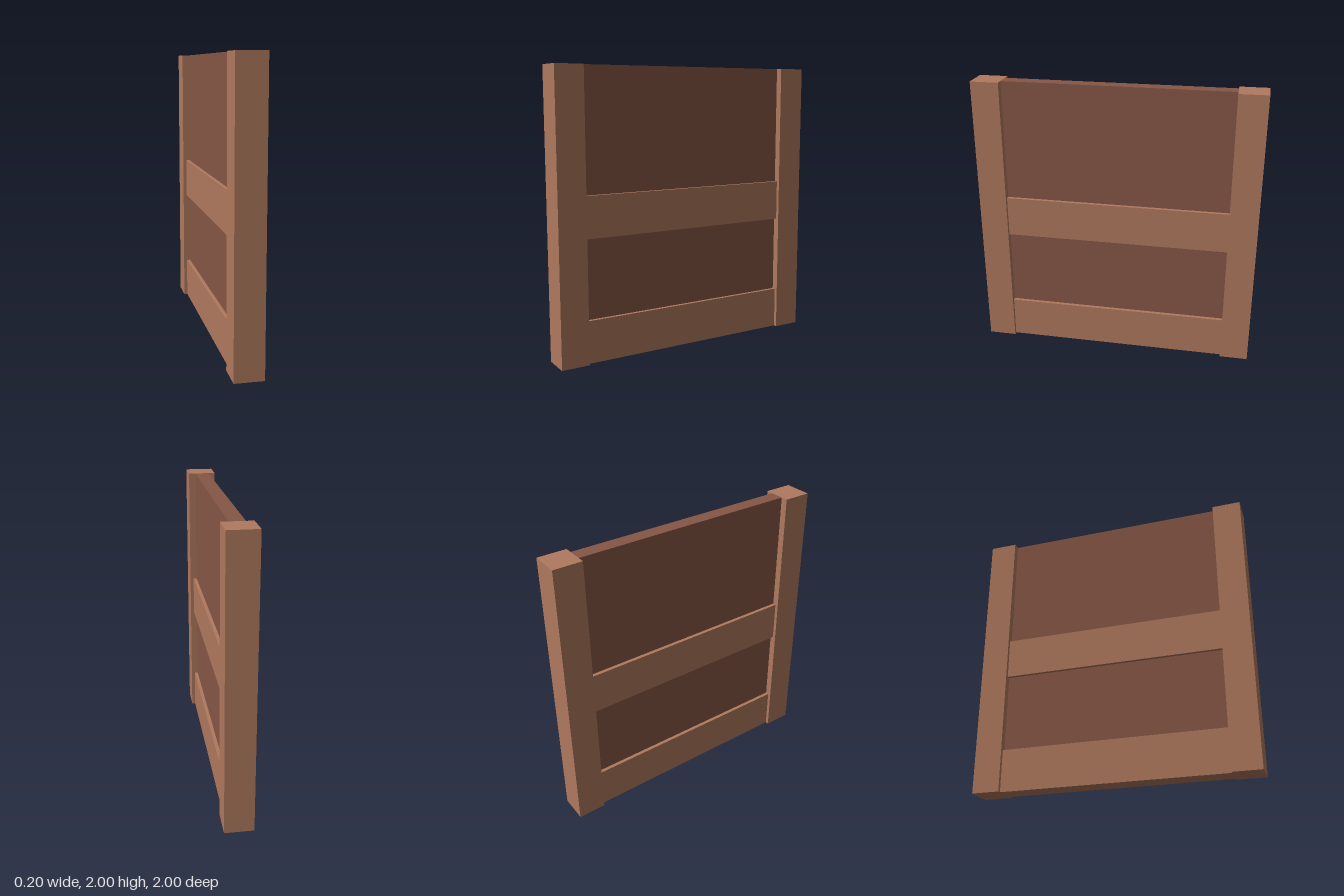
import * as THREE from 'three';

export function createModel() {
  const model = new THREE.Group();
  model.name = 'panelFence';

  const frameWood = new THREE.MeshStandardMaterial({ color: 0xb0795e });
  frameWood.name = 'frame wood';
  const panelWood = new THREE.MeshStandardMaterial({ color: 0x875746 });
  panelWood.name = 'panel wood';

  // Box spanning y0..y1, centred on x = 0
  function addBox(name, material, width, y0, y1, depth, z = 0) {
    const mesh = new THREE.Mesh(new THREE.BoxGeometry(width, y1 - y0, depth), material);
    mesh.position.set(0, (y0 + y1) / 2, z);
    mesh.name = name;
    model.add(mesh);
  }

  // Square end posts
  addBox('frontPost', frameWood, 0.2, 0, 2, 0.2, 0.9);
  addBox('backPost', frameWood, 0.2, 0, 2, 0.2, -0.9);

  // Rails standing proud of the panel on both sides
  addBox('bottomRail', frameWood, 0.15, 0, 0.3, 1.6);
  addBox('middleRail', frameWood, 0.15, 0.86, 1.15, 1.6);

  // Thin infill panel, seated inside the bottom rail
  addBox('panel', panelWood, 0.1, 0.02, 2, 1.6);

  return model;
}
